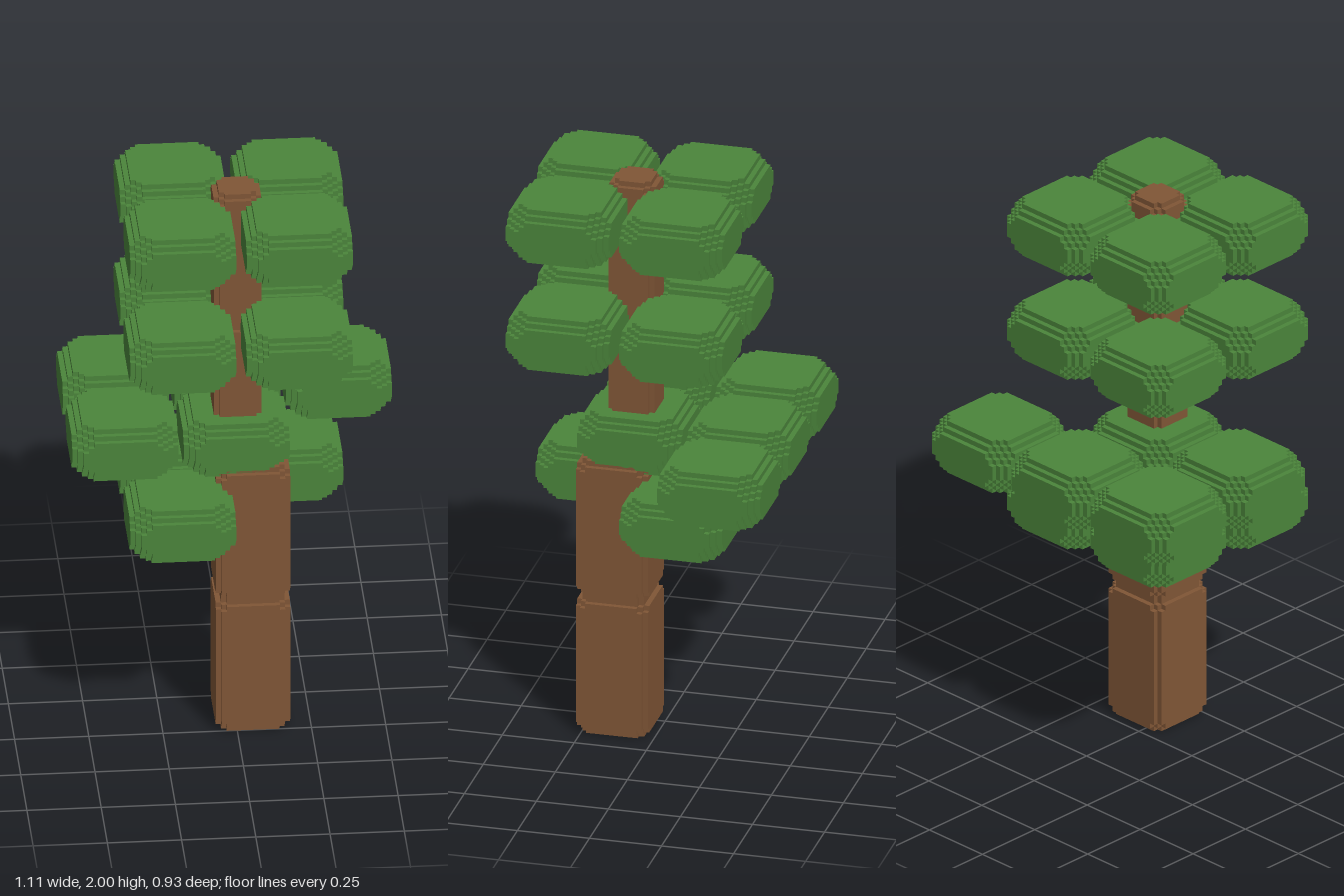
import * as THREE from 'three';

const UNIT = 1 / 56; // edge length of one small cube
const LEVELS = 4;    // depth of the stepped rounding, in cubes

// Stepped block of w x h x d cubes, centred. A cell is kept when its distances from the
// faces add up to at least edgeCut (any two axes) and cornerCut (all three axes).
function steppedBlock(w, h, d, edgeCut, cornerCut) {
  const size = [w, h, d];
  const lines = size.map((n) => {
    const out = [];
    for (let i = 0; i <= LEVELS; i++) out.push(i - n / 2);
    for (let i = LEVELS; i >= 0; i--) out.push(n / 2 - i);
    return out;
  });
  const last = 2 * LEVELS;
  const filled = (c) => {
    if (c.some((i) => i < 0 || i > last)) return false;
    const [a, b, e] = c.map((i) => Math.min(i, last - i));
    return Math.min(a + b, b + e, a + e) >= edgeCut && a + b + e >= cornerCut;
  };

  const positions = [];
  const normals = [];
  const addFace = (cell, axis, dir) => {
    const u = (axis + 1) % 3;
    const v = (axis + 2) % 3;
    const corner = (du, dv) => {
      const p = [0, 0, 0];
      p[axis] = lines[axis][cell[axis] + (dir > 0 ? 1 : 0)] * UNIT;
      p[u] = lines[u][cell[u] + du] * UNIT;
      p[v] = lines[v][cell[v] + dv] * UNIT;
      return p;
    };
    const quad = [corner(0, 0), corner(1, 0), corner(1, 1), corner(0, 1)];
    if (dir < 0) quad.reverse();
    const normal = [0, 0, 0];
    normal[axis] = dir;
    for (const i of [0, 1, 2, 0, 2, 3]) {
      positions.push(...quad[i]);
      normals.push(...normal);
    }
  };

  // Only faces between a filled and an empty cell are built
  for (let x = 0; x <= last; x++)
    for (let y = 0; y <= last; y++)
      for (let z = 0; z <= last; z++) {
        const cell = [x, y, z];
        if (!filled(cell)) continue;
        for (let axis = 0; axis < 3; axis++)
          for (const dir of [-1, 1]) {
            const next = [...cell];
            next[axis] += dir;
            if (!filled(next)) addFace(cell, axis, dir);
          }
      }

  const geometry = new THREE.BufferGeometry();
  geometry.setAttribute('position', new THREE.Float32BufferAttribute(positions, 3));
  geometry.setAttribute('normal', new THREE.Float32BufferAttribute(normals, 3));
  return geometry;
}

export function createModel() {
  const model = new THREE.Group();
  model.name = 'tree';
  const bark = new THREE.MeshStandardMaterial({ color: 0x805636 });
  bark.name = 'bark brown';
  const foliage = new THREE.MeshStandardMaterial({ color: 0x4b853b });
  foliage.name = 'leaf green';

  const place = (parent, name, geometry, material, x, y, z) => {
    const mesh = new THREE.Mesh(geometry, material);
    mesh.name = name;
    mesh.position.set(x, y, z).multiplyScalar(UNIT);
    parent.add(mesh);
  };

  // Trunk: two thick blocks below, two slim ones above, flush on the back right edge
  const trunk = new THREE.Group();
  trunk.name = 'trunk';
  model.add(trunk);
  const thick = steppedBlock(14, 28, 14, 1, 3);
  const slim = steppedBlock(9, 28, 9, 1, 3);
  for (const y of [14, 42]) place(trunk, 'lowerTrunk', thick, bark, 3, y, 8);
  for (const y of [70, 98]) place(trunk, 'upperTrunk', slim, bark, 0.5, y, 5.5);

  // Leaf tiers: height of the centre, then the [x, z] of each clump
  const fourAround = [[-11, -6], [11, -6], [-11, 16], [11, 16]];
  const tiers = [
    { name: 'lowestLeaves', y: 47.5, spots: fourAround.slice(0, 3) },
    { name: 'wideLeaves', y: 59.5, spots: [[-21, -16], [0, -16], [21, -16], [-21, 5], [0, 5]] },
    { name: 'middleLeaves', y: 83.5, spots: fourAround },
    { name: 'topLeaves', y: 105.5, spots: fourAround },
  ];
  const clump = steppedBlock(20, 11, 20, 2, 6);
  for (const { name, y, spots } of tiers) {
    const tier = new THREE.Group();
    tier.name = name;
    model.add(tier);
    for (const [x, z] of spots) place(tier, 'leafClump', clump, foliage, x, y, z);
  }
  return model;
}
